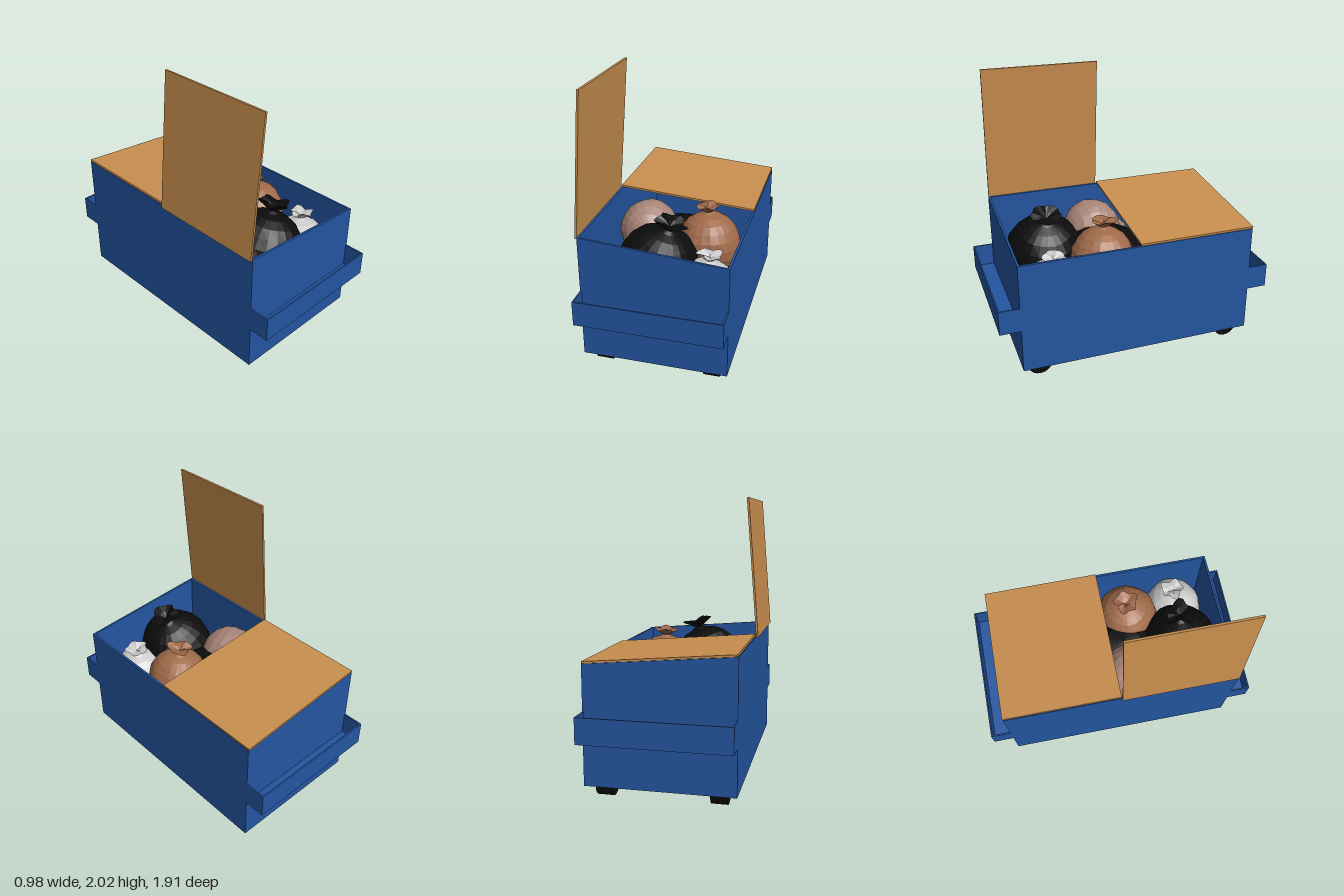
import * as THREE from 'three';

const paint = (color, extra = {}) => new THREE.MeshStandardMaterial({ color, ...extra });
const BLUE = paint(0x2455a0);
const ORANGE = paint(0xc98f4f);
const RUBBER = paint(0x0c0c0c);

function add(group, name, geometry, material) {
  const mesh = new THREE.Mesh(geometry, material);
  mesh.name = name;
  group.add(mesh);
  return mesh;
}

// Box given by its extents on each axis
function box(group, name, [x0, x1], [y0, y1], [z0, z1], material) {
  const mesh = add(group, name, new THREE.BoxGeometry(x1 - x0, y1 - y0, z1 - z0), material);
  mesh.position.set((x0 + x1) / 2, (y0 + y1) / 2, (z0 + z1) / 2);
  return mesh;
}

// Outline in the xy plane, extruded from z0 to z1
function prism(group, name, outline, z0, z1, material) {
  const shape = new THREE.Shape(outline.map(([x, y]) => new THREE.Vector2(x, y)));
  const geometry = new THREE.ExtrudeGeometry(shape, { depth: z1 - z0, bevelEnabled: false });
  geometry.translate(0, 0, z0);
  return add(group, name, geometry, material);
}

// Flat lid between two points of the xy plane
function lid(group, name, [ax, ay], [bx, by], z0, z1) {
  const length = Math.hypot(bx - ax, by - ay);
  const mesh = add(group, name, new THREE.BoxGeometry(length, 0.014, z1 - z0), ORANGE);
  mesh.position.set((ax + bx) / 2, (ay + by) / 2, (z0 + z1) / 2);
  mesh.rotation.z = Math.atan2(by - ay, bx - ax);
}

// Unit rubbish bag: round belly, pinched neck, ragged flared crown
const BAG_PROFILE = [
  [0, -1], [0.3, -0.95], [0.58, -0.81], [0.81, -0.59], [0.95, -0.31], [1, 0], [0.95, 0.31],
  [0.83, 0.56], [0.66, 0.77], [0.44, 0.91], [0.2, 0.99], [0.11, 1.05], [0.24, 1.16],
  [0.37, 1.25], [0.16, 1.2], [0, 1.12],
];
function bagGeometry(seed) {
  const points = BAG_PROFILE.map(([r, y]) => new THREE.Vector2(r, y));
  const geometry = new THREE.LatheGeometry(points, 22);
  const p = geometry.attributes.position;
  for (let i = 0; i < p.count; i++) {
    const x = p.getX(i), y = p.getY(i), z = p.getZ(i);
    const a = Math.atan2(z, x);
    const crown = y > 1.1;
    const swell = crown
      ? 1 + 0.14 * Math.sin(5 * a + seed) + 0.08 * Math.sin(3 * a + 2 * seed)
      : 1 + 0.015 * Math.sin(3 * a + 4 * y + seed) + 0.01 * Math.sin(7 * a - 5 * y + seed);
    const lift = crown ? 0.12 * Math.hypot(x, z) * Math.sin(4 * a + seed) : 0;
    p.setXYZ(i, x * swell, y + lift, z * swell);
  }
  geometry.computeVertexNormals();
  return geometry;
}

export function createModel() {
  const model = new THREE.Group();
  model.name = 'dumpster';

  // Open container with a rim that slopes down to one side
  const body = new THREE.Group();
  body.name = 'container';
  model.add(body);
  const L = -0.48, R = 0.49, FLOOR = 0.2, HIGH = 1.06, LOW = 0.98, END = 0.815, T = 0.015;
  const rim = (x) => HIGH + ((LOW - HIGH) * (x - L)) / (R - L);
  const panel = (x0, x1) => [[x0, FLOOR], [x1, FLOOR], [x1, rim(x1)], [x0, rim(x0)]];
  box(body, 'floor', [L + T, R - T], [FLOOR, FLOOR + T], [-END + T, END - T], BLUE);
  prism(body, 'highSideWall', panel(L, L + T), -END + T, END - T, BLUE);
  prism(body, 'lowSideWall', panel(R - T, R), -END + T, END - T, BLUE);
  prism(body, 'frontWall', panel(L, R), END - T, END, BLUE);
  prism(body, 'backWall', panel(L, R), -END, -END + T, BLUE);

  // Open-topped lifting troughs on both ends
  for (const s of [1, -1]) {
    const trough = new THREE.Group();
    trough.name = s > 0 ? 'frontTrough' : 'backTrough';
    const span = (a, b) => (s > 0 ? [a, b] : [-b, -a]);
    const OUT = 0.955, t = 0.01;
    box(trough, 'troughFloor', [L, R], [0.51, 0.52], span(END, OUT), BLUE);
    box(trough, 'troughLip', [L, R], [0.52, 0.68], span(OUT - t, OUT), BLUE);
    box(trough, 'troughEnd', [L, L + t], [0.52, 0.68], span(END, OUT - t), BLUE);
    box(trough, 'troughEnd', [R - t, R], [0.52, 0.68], span(END, OUT - t), BLUE);
    model.add(trough);
  }

  // Lids: back one closed, front one swung open
  lid(model, 'closedLid', [-0.475, 1.069], [0.488, 0.989], -0.82, -0.005);
  lid(model, 'openLid', [-0.487, 1.05], [-0.409, 2], 0, 0.812);

  // Wheels
  for (const x of [-0.36, 0.375]) {
    for (const z of [-0.69, 0.69]) {
      const wheel = add(model, 'wheel', new THREE.CylinderGeometry(0.085, 0.085, 0.105, 24), RUBBER);
      wheel.rotation.z = Math.PI / 2;
      wheel.position.set(x, 0.195, z);
    }
  }

  // Rubbish bags: name, colour, centre, radius, tilt about x and z
  const bags = [
    ['blackBag', 0x0c0c0c, [-0.055, 0.77, 0.515], 0.272, 0, -0.3],
    ['brownBag', 0xa06a4a, [0.212, 0.8, 0.175], 0.217, -0.05, 0.04],
    ['pinkBag', 0xa88478, [-0.235, 0.82, 0.11], 0.205, -1.9, 0.3],
    ['greyBag', 0xcccccc, [0.275, 0.65, 0.55], 0.21, -0.06, -0.12],
    ['sunkenBag', 0x0c0c0c, [0, 0.515, 0.1], 0.405, Math.PI, -0.08],
  ];
  bags.forEach(([name, color, centre, radius, tiltX, tiltZ], i) => {
    const material = paint(color, { flatShading: true, side: THREE.DoubleSide });
    const bag = add(model, name, bagGeometry(i * 1.7 + 0.5), material);
    bag.position.set(...centre);
    bag.scale.setScalar(radius);
    bag.rotation.set(tiltX, 0, tiltZ);
  });

  return model;
}
